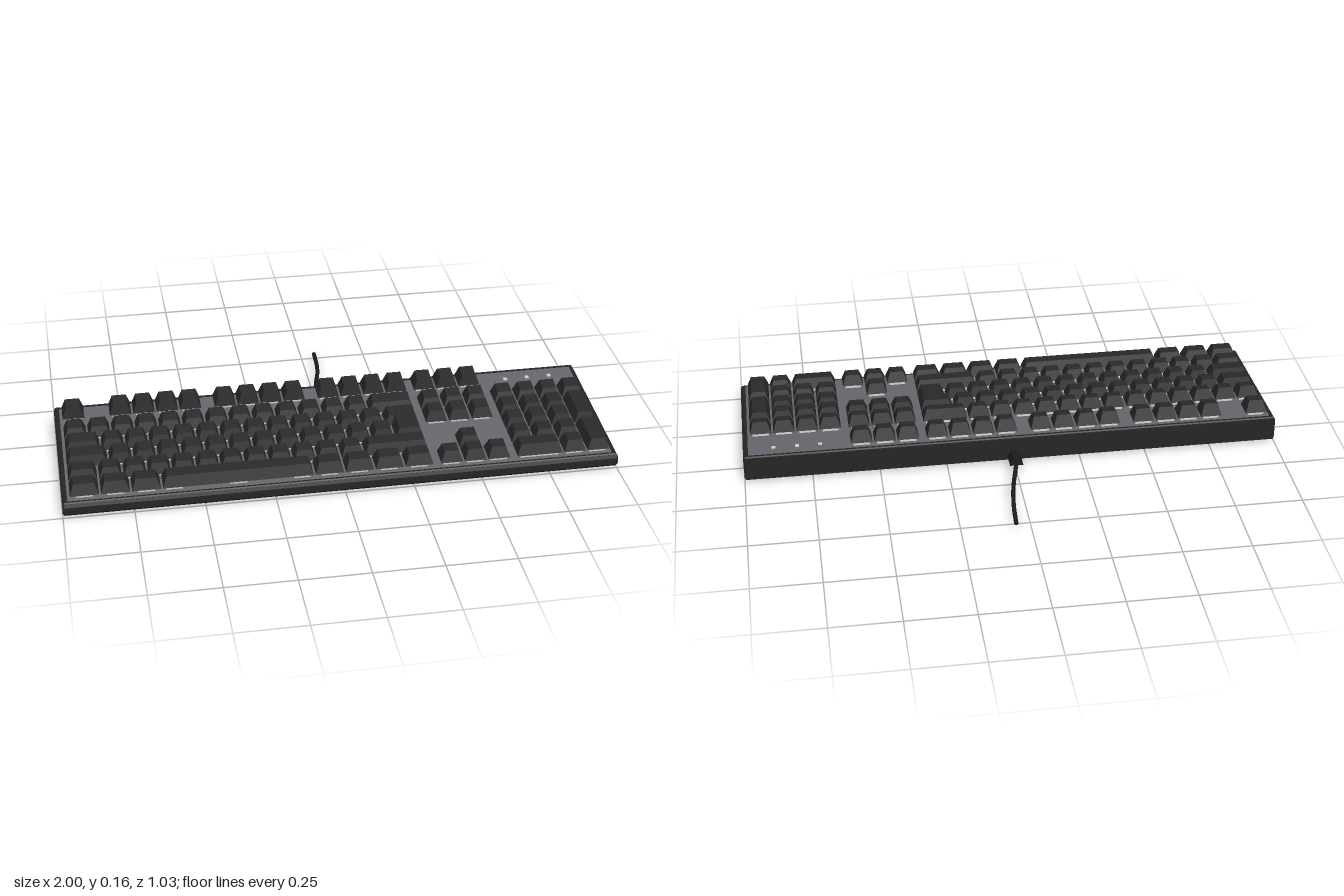
import * as THREE from 'three';

const mat = (name, color, extra = {}) => Object.assign(new THREE.MeshStandardMaterial({ color, ...extra }), { name });

export function createModel() {
  const caseMat = mat('case black', 0x262627);
  const keyMat = mat('keycap charcoal', 0x2a2a2a);
  const plateMat = mat('plate grey', 0x66676c);
  const paleMat = mat('switch white', 0xd0d2d0);
  const cableMat = mat('rubber black', 0x1c1c1c);

  const model = new THREE.Group();
  model.name = 'keyboard';
  const add = (parent, name, geo, material, x = 0, y = 0, z = 0) => {
    const m = new THREE.Mesh(geo, material);
    m.name = name;
    m.position.set(x, y, z);
    parent.add(m);
    return m;
  };
  const box = (w, h, d) => new THREE.BoxGeometry(w, h, d);

  // Wedge-shaped case: side profile (z, y) extruded across x with chamfered ends
  const b = 0.006;
  const profile = new THREE.Shape([
    [-0.094, 0.018], [0.5, 0.018], [0.508, 0.026], [0.508, 0.046], [0.5, 0.051], [-0.094, 0.0945],
  ].map(([z, y]) => new THREE.Vector2(z, y)));
  const body = new THREE.ExtrudeGeometry(profile, {
    depth: 2 - 2 * b, bevelEnabled: true, bevelSize: b, bevelThickness: b, bevelSegments: 1,
  });
  body.translate(0, 0, -(1 - b));
  body.rotateY(-Math.PI / 2);
  add(model, 'caseBody', body, caseMat);

  // Feet and thin ribs under the case
  for (const x of [-0.8, 0.8]) for (const z of [0.443, -0.025]) add(model, 'foot', box(0.24, 0.014, 0.054), cableMat, x, 0.007, z);
  for (let i = -3; i <= 3; i++) add(model, 'undersideRib', box(0.008, 0.008, 0.45), caseMat, i * 0.18, 0.01, 0.138);

  // Sloping deck that carries rim, plate and keys
  const deck = new THREE.Group();
  deck.name = 'deck';
  deck.position.y = 0.0975;
  deck.rotation.x = Math.atan(0.0745);
  model.add(deck);

  const rect = (path, x, z0, z1) => {
    path.moveTo(-x, -z1);
    path.lineTo(x, -z1);
    path.lineTo(x, -z0);
    path.lineTo(-x, -z0);
    path.closePath();
    return path;
  };
  const rimShape = rect(new THREE.Shape(), 0.991, -0.09, 0.499);
  rimShape.holes.push(rect(new THREE.Path(), 0.982, -0.08, 0.492));
  const rim = new THREE.ExtrudeGeometry(rimShape, {
    depth: 0.004, bevelEnabled: true, bevelSize: 0.004, bevelThickness: 0.004, bevelSegments: 1,
  });
  rim.rotateX(-Math.PI / 2);
  add(deck, 'rim', rim, caseMat, 0, -0.007, 0);
  add(deck, 'plate', box(1.964, 0.006, 0.574), plateMat, 0, -0.003, 0.206);

  // Indicator lights
  for (const x of [0.715, 0.8, 0.887]) add(deck, 'indicatorLight', box(0.014, 0.004, 0.014), paleMat, x, 0.002, -0.032);

  // Keycaps: tapered boxes; each row has [front inset, back inset, front height, back height]
  const U = 0.0866, X0 = -11.25 * U, GAP = 0.007, LIFT = 0.0135;
  const rowShape = [
    [0.011, 0.016, 0.039, 0.046], [0.017, 0.014, 0.036, 0.043], [0.015, 0.011, 0.037, 0.04],
    [0.015, 0.01, 0.037, 0.039], [0.017, 0.013, 0.038, 0.039], [0.018, 0.014, 0.039, 0.04],
  ];
  const rowZ = [-0.032, 0.098, 0.185, 0.271, 0.358, 0.444];
  const keycap = (w, d, [fi, bi, fh, bh]) => {
    const g = box(w, 1, d), p = g.attributes.position;
    for (let i = 0; i < p.count; i++) {
      const front = p.getZ(i) > 0;
      if (p.getY(i) < 0) { p.setY(i, 0); continue; }
      p.setX(i, p.getX(i) - Math.sign(p.getX(i)) * 0.014);
      p.setZ(i, p.getZ(i) + (front ? -fi : bi));
      p.setY(i, front ? fh : bh);
    }
    g.computeVertexNormals();
    return g;
  };
  const addKey = (row, start, width = 1, tall = 1) => {
    const x = X0 + (start + width / 2) * U;
    const z = rowZ[row] + (tall - 1) * U / 2;
    add(deck, 'keycap', keycap(width * U - GAP, tall * U - GAP, rowShape[row]), keyMat, x, LIFT, z);
    // Switch under the cap, with stabilisers on long keys
    const reach = (Math.max(width, tall) - 1) * U / 2;
    for (const s of reach > 0.04 ? [-1, 0, 1] : [0]) {
      const dx = tall > 1 ? 0 : s * reach, dz = tall > 1 ? s * reach : 0;
      add(deck, 'switch', box(0.06, LIFT + 0.002, 0.06), paleMat, x + dx, LIFT / 2, z + dz);
    }
  };
  const addRow = (row, start, widths) => {
    for (const w of widths) {
      addKey(row, start, w);
      start += w;
    }
  };
  const ones = (n) => Array(n).fill(1);

  // Main block
  addKey(0, 0);
  for (const s of [2, 6.5, 11]) addRow(0, s, ones(4));
  addRow(1, 0, [...ones(13), 2]);
  addRow(2, 0, [1.5, ...ones(12), 1.5]);
  addRow(3, 0, [1.75, ...ones(12)]);
  addKey(2, 13.75, 1.25, 2);
  addRow(4, 0, [1.25, ...ones(11), 2.75]);
  addRow(5, 0, [1.25, 1.25, 1.25, 6.25, 1.25, 1.25, 1.25, 1.25]);
  // Navigation cluster and arrows
  for (const r of [0, 1, 2, 5]) addRow(r, 15.25, ones(3));
  addKey(4, 16.25);
  // Number pad
  addRow(1, 18.5, ones(4));
  for (const r of [2, 3, 4]) addRow(r, 18.5, ones(3));
  addRow(5, 18.5, [2, 1]);
  addKey(2, 21.5, 1, 2);
  addKey(4, 21.5, 1, 2);

  // Cable with its plug
  add(model, 'cableCollar', box(0.03, 0.02, 0.02), cableMat, 0, 0.043, -0.105);
  add(model, 'cablePlug', keycap(0.05, 0.066, [0.004, 0.002, 0.028, 0.028]), cableMat, 0, 0.03, -0.138);
  const path = new THREE.CatmullRomCurve3([
    [0, 0.043, -0.165], [0.014, 0.043, -0.23], [0.034, 0.034, -0.32], [0.046, 0.02, -0.41], [0.052, 0.012, -0.514],
  ].map((p) => new THREE.Vector3(...p)));
  add(model, 'cable', new THREE.TubeGeometry(path, 32, 0.008, 10), cableMat);
  const end = add(model, 'cableEnd', new THREE.CircleGeometry(0.008, 10), cableMat, 0.052, 0.012, -0.514);
  end.rotation.y = Math.PI;

  return model;
}
